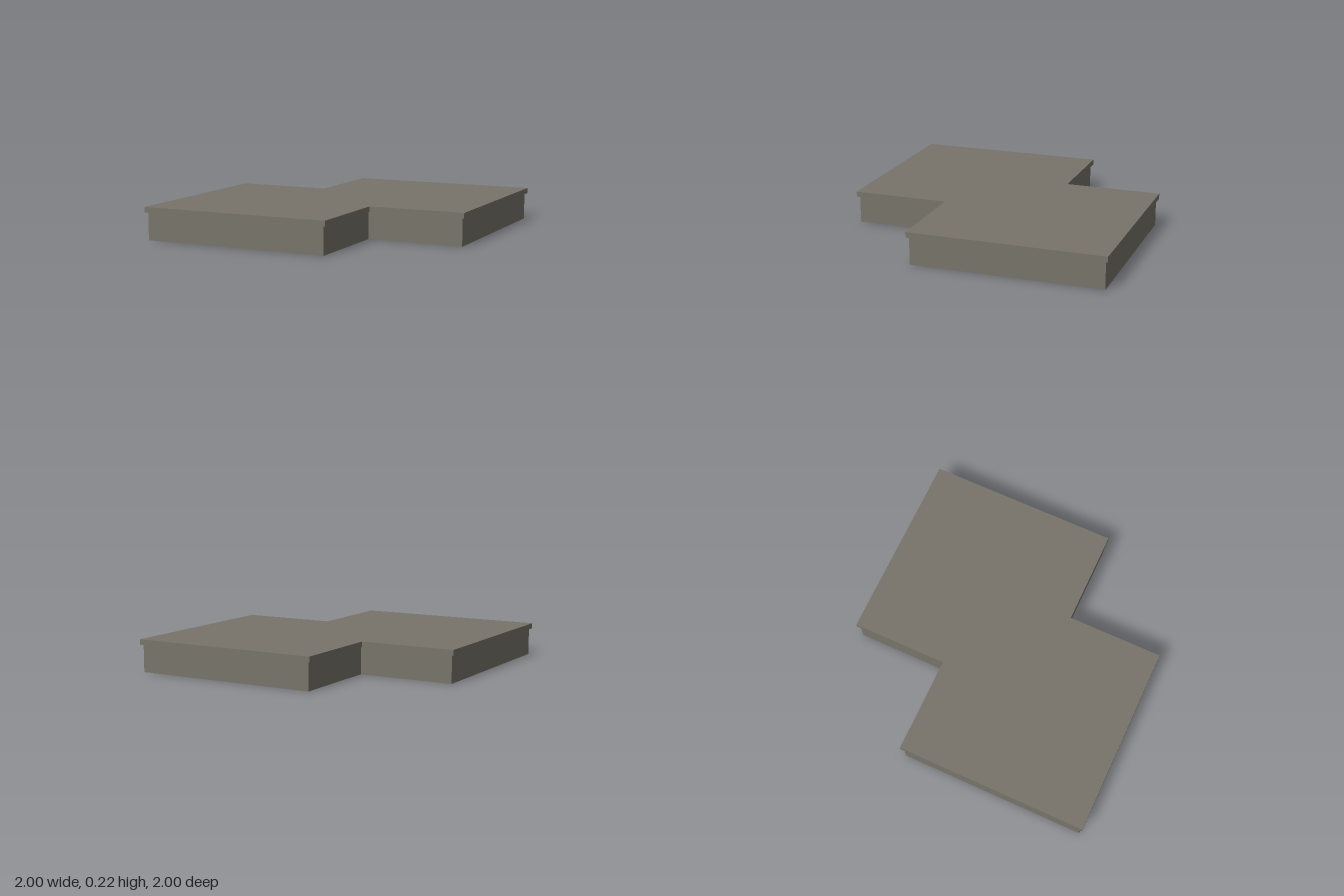
import * as THREE from 'three';

const HEIGHT = 0.225, LIP_BOTTOM = 0.188;

// Square plan with two opposite corners notched, inset by d; points are (x, z)
function outline(d) {
  const e = 1 - d, n = 1 / 3 - d;
  return [[-e, e], [n, e], [n, n], [e, n], [e, -e], [-n, -e], [-n, -n], [-e, -n]];
}

// Vertical band that follows an outline
function band(points, y0, y1) {
  const v = [];
  points.forEach(([ax, az], i) => {
    const [bx, bz] = points[(i + 1) % points.length];
    v.push(ax, y0, az, bx, y0, bz, bx, y1, bz, ax, y0, az, bx, y1, bz, ax, y1, az);
  });
  const g = new THREE.BufferGeometry();
  g.setAttribute('position', new THREE.Float32BufferAttribute(v, 3));
  g.computeVertexNormals();
  return g;
}

// Horizontal sheet, optionally with a hole
function sheet(points, y, hole) {
  const flat = (pts) => pts.map(([x, z]) => new THREE.Vector2(x, -z));
  const shape = new THREE.Shape(flat(points));
  if (hole) shape.holes.push(new THREE.Path(flat(hole)));
  return new THREE.ShapeGeometry(shape).rotateX(-Math.PI / 2).translate(0, y, 0);
}

export function createModel() {
  const stone = new THREE.MeshStandardMaterial({ color: 0x78746b, side: THREE.DoubleSide });
  stone.name = 'warm grey stone';
  const model = new THREE.Group();
  model.name = 'platform';
  const add = (name, geometry) => {
    const mesh = new THREE.Mesh(geometry, stone);
    mesh.name = name;
    model.add(mesh);
  };

  // Thin skirt wall, hollow underneath
  add('skirtWall', band(outline(0.0175), 0, LIP_BOTTOM));
  // Overhanging lip and its narrow underside
  add('lipEdge', band(outline(0), LIP_BOTTOM, HEIGHT));
  add('lipUnderside', sheet(outline(0), LIP_BOTTOM, outline(0.04)));
  // Deck
  add('deck', sheet(outline(0), HEIGHT));
  return model;
}
